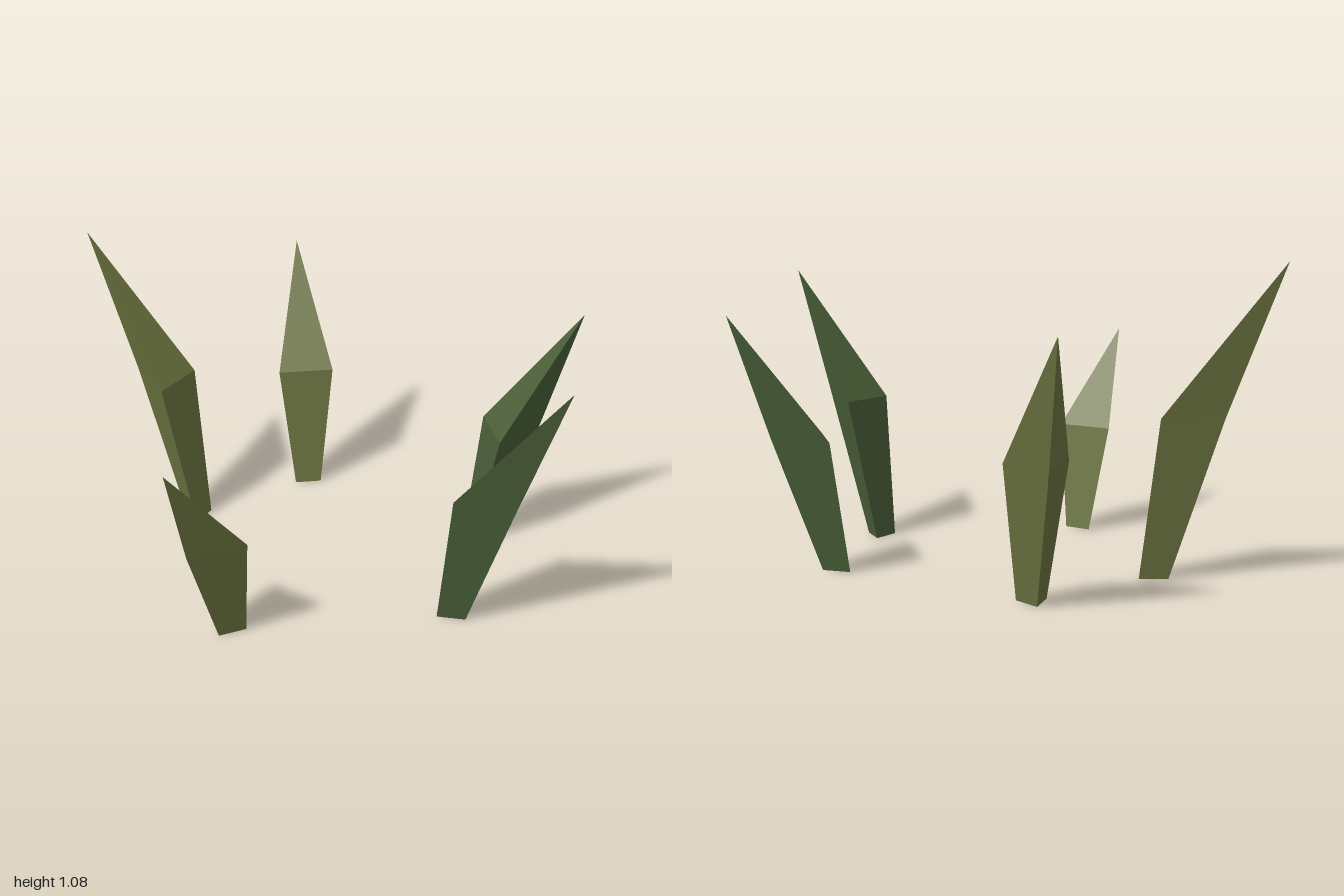
import * as THREE from 'three';

// Each blade: horizontal centre [x, z] of its foot, its belly (at height bellyY) and its tip
const BLADES = [
  { name: 'frontBlade', tone: 'olive', out: [0.07, 1], foot: [0.057, 0.504], belly: [0.064, 0.588], bellyY: 0.39, tip: [0.09, 0.745, 0.81] },
  { name: 'leftBlade', tone: 'green', out: [1, 0], foot: [0.588, -0.065], belly: [0.7, -0.07], bellyY: 0.515, tip: [0.99, 0.985, -0.07] },
  { name: 'rightBlade', tone: 'olive', out: [-0.987, 0.16], foot: [-0.558, 0.033], belly: [-0.683, 0.053], bellyY: 0.56, tip: [-1, 1.075, 0.11] },
  { name: 'backRightBlade', tone: 'olive', out: [-0.748, -0.664], foot: [-0.417, -0.457], belly: [-0.494, -0.527], bellyY: 0.46, tip: [-0.685, 0.885, -0.705] },
  { name: 'backLeftBlade', tone: 'green', out: [0.628, -0.778], foot: [0.358, -0.528], belly: [0.423, -0.606], bellyY: 0.46, tip: [0.58, 0.885, -0.815] },
];
const FOOT_RADIUS = 0.058;
const BELLY_RADIUS = 0.122;

// Three-sided spike that swells to a belly, then tapers to a point, leaning outward
function bladeGeometry({ out, foot, belly, bellyY, tip }) {
  const geometry = new THREE.CylinderGeometry(0, 1, 2, 3, 2, false, Math.atan2(out[0], out[1]));
  const p = geometry.attributes.position;
  for (let i = 0; i < p.count; i++) {
    const x = p.getX(i), y = p.getY(i), z = p.getZ(i);
    if (y > 0.5) p.setXYZ(i, ...tip);
    else if (y > -0.5) p.setXYZ(i, belly[0] + x * 2 * BELLY_RADIUS, bellyY, belly[1] + z * 2 * BELLY_RADIUS);
    else p.setXYZ(i, foot[0] + x * FOOT_RADIUS, 0, foot[1] + z * FOOT_RADIUS);
  }
  geometry.computeVertexNormals();
  return geometry;
}

export function createModel() {
  const materials = {
    olive: new THREE.MeshStandardMaterial({ name: 'olive', color: 0x6b7440, flatShading: true }),
    green: new THREE.MeshStandardMaterial({ name: 'darkGreen', color: 0x4a5f38, flatShading: true }),
  };
  const group = new THREE.Group();
  group.name = 'grassBlades';
  for (const blade of BLADES) {
    const mesh = new THREE.Mesh(bladeGeometry(blade), materials[blade.tone]);
    mesh.name = blade.name;
    group.add(mesh);
  }
  return group;
}
